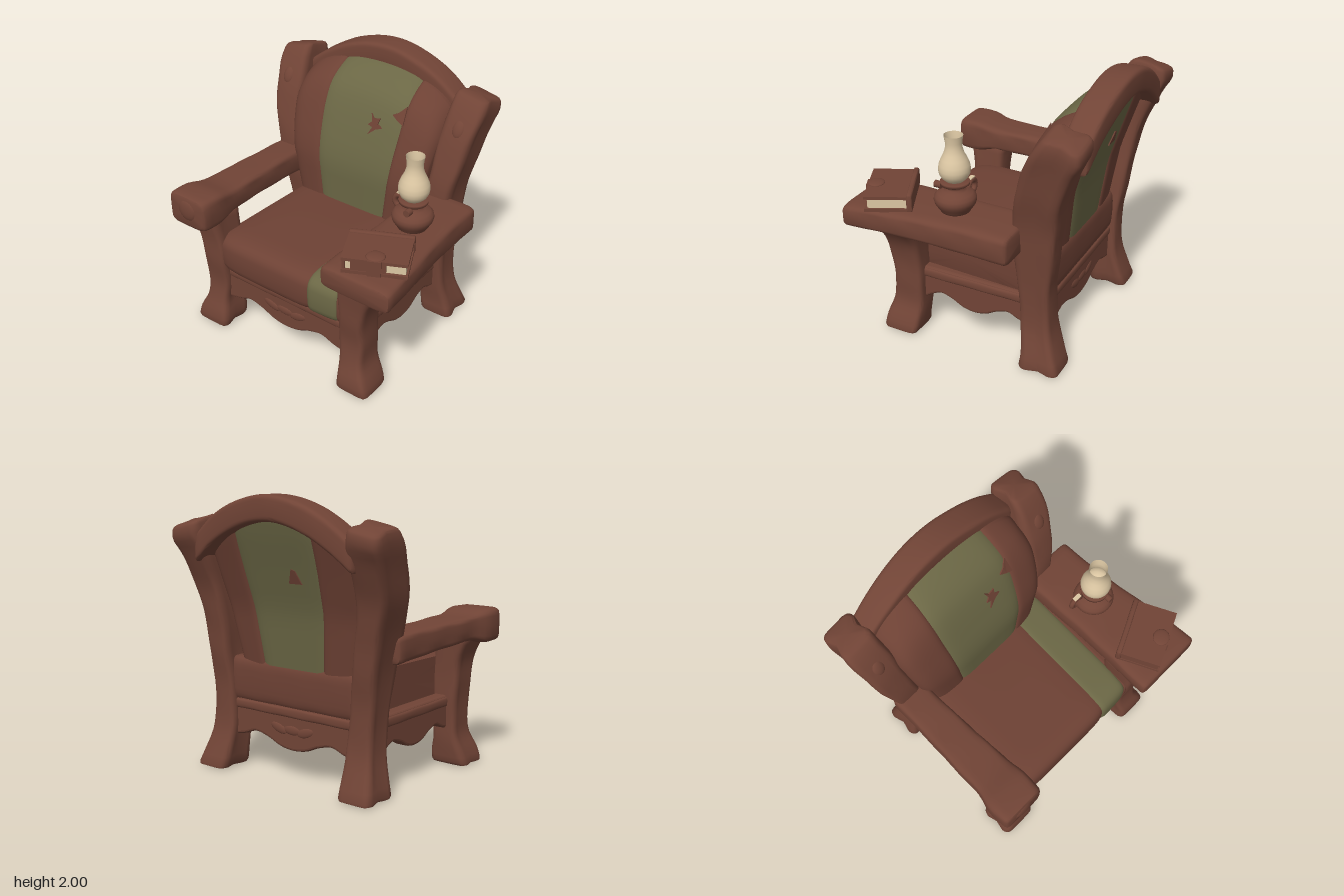
import * as THREE from 'three';
import { toCreasedNormals } from 'three/addons/utils/BufferGeometryUtils.js';

const mat = (name, color, side = THREE.FrontSide) => {
  const m = new THREE.MeshStandardMaterial({ color, side });
  m.name = name;
  return m;
};

// Linear lookup in a short [key, value] table.
const table = (rows) => (k) => {
  if (k <= rows[0][0]) return rows[0][1];
  for (let i = 1; i < rows.length; i++) {
    const [k0, v0] = rows[i - 1], [k1, v1] = rows[i];
    if (k <= k1) return v0 + (v1 - v0) * (k - k0) / (k1 - k0);
  }
  return rows[rows.length - 1][1];
};

// Closed solid through rings of points, with both ends capped.
function skin(rings, crease = 0.75) {
  const n = rings[0].length, pos = [], idx = [];
  rings.forEach((r) => r.forEach((p) => pos.push(...p)));
  for (let i = 0; i < rings.length - 1; i++) {
    for (let j = 0; j < n; j++) {
      const a = i * n + j, b = i * n + (j + 1) % n;
      idx.push(a, b, b + n, a, b + n, a + n);
    }
  }
  [0, rings.length - 1].forEach((r, end) => {
    const c = pos.length / 3;
    pos.push(...[0, 1, 2].map((k) => rings[r].reduce((s, p) => s + p[k], 0) / n));
    for (let j = 0; j < n; j++) {
      const a = r * n + j, b = r * n + (j + 1) % n;
      idx.push(...(end ? [a, b, c] : [b, a, c]));
    }
  });
  // Turn the faces outward if the volume is negative.
  const v = (i) => new THREE.Vector3().fromArray(pos, i * 3);
  let volume = 0;
  for (let i = 0; i < idx.length; i += 3) volume += v(idx[i]).dot(v(idx[i + 1]).cross(v(idx[i + 2])));
  if (volume < 0) idx.reverse();
  const g = new THREE.BufferGeometry();
  g.setAttribute('position', new THREE.Float32BufferAttribute(pos, 3));
  g.setIndex(idx);
  return toCreasedNormals(g, crease);
}

// Rounded beam along an axis; each section is [t, a0, a1, b0, b1]; bend may adjust each point.
function beam(axis, sections, { round = 0.35, bevel = 0.025, steps = 24, groove = 0, wobble = 0.012, bend = (p) => p } = {}) {
  const s = [...sections].sort((p, q) => p[0] - q[0]);
  const curve = new THREE.CubicInterpolant(s.map((r) => r[0]), s.flatMap((r) => r.slice(1)), 4, new Float32Array(4));
  const t0 = s[0][0], t1 = s[s.length - 1][0], ts = [[t0, bevel], [t0 + bevel * 0.3, bevel * 0.3]];
  for (let i = 0; i <= steps; i++) ts.push([t0 + bevel + (t1 - t0 - 2 * bevel) * i / steps, 0]);
  ts.push([t1 - bevel * 0.3, bevel * 0.3], [t1, bevel]);
  const soft = (c) => Math.sign(c) * Math.abs(c) ** round;
  return skin(ts.map(([t, inset]) => {
    const [a0, a1, b0, b1] = curve.evaluate(t), ring = [];
    for (let j = 0; j < 32; j++) {
      const th = j / 32 * Math.PI * 2;
      const w = 1 + wobble * Math.sin(t * 19 + Math.round(j / 4) * 1.9);
      const cut = groove && j % 16 === 0 ? groove : 0;
      const a = (a0 + a1) / 2 + ((a1 - a0) / 2 - inset - cut) * soft(Math.cos(th)) * w;
      const b = (b0 + b1) / 2 + ((b1 - b0) / 2 - inset) * soft(Math.sin(th)) * w;
      ring.push(bend(axis === 'y' ? [a, t, b] : axis === 'z' ? [a, b, t] : [t, a, b]));
    }
    return ring;
  }));
}

export function createModel() {
  const group = new THREE.Group();
  const wood = mat('brown wood', 0x714436);
  const leather = mat('brown upholstery', 0x6d4134);
  const green = mat('green patch cloth', 0x6b6745);
  const cream = mat('cream glass and paper', 0xdcc7a3, THREE.DoubleSide);
  const add = (name, geometry, material, parent = group) => {
    const m = new THREE.Mesh(geometry, material);
    m.name = name;
    parent.add(m);
    return m;
  };
  const lump = (name, x, y, z, sx, sy, sz, parent = group) => {
    const m = add(name, new THREE.SphereGeometry(1, 16, 10), wood, parent);
    m.position.set(x, y, z);
    m.scale.set(sx, sy, sz);
    return m;
  };
  const MID = -0.09;

  // Front legs, the left one flaring into an arm bracket
  add('frontLegRight', beam('y', [[0, -0.87, -0.57, 0.46, 0.74], [0.1, -0.84, -0.57, 0.45, 0.73], [0.22, -0.79, -0.59, 0.44, 0.69],
    [0.35, -0.78, -0.58, 0.44, 0.67], [0.6, -0.79, -0.575, 0.44, 0.69], [0.8, -0.81, -0.59, 0.44, 0.7], [0.98, -0.89, -0.61, 0.43, 0.73]], { groove: 0.02 }), wood);
  add('frontLegLeft', beam('y', [[0, 0.47, 0.75, 0.46, 0.74], [0.1, 0.48, 0.72, 0.45, 0.73], [0.22, 0.47, 0.67, 0.44, 0.69],
    [0.4, 0.46, 0.665, 0.44, 0.67], [0.6, 0.465, 0.67, 0.44, 0.69], [0.75, 0.465, 0.71, 0.44, 0.7], [0.88, 0.46, 0.8, 0.43, 0.71],
    [1.0, 0.46, 0.92, 0.43, 0.73]]), wood);

  // Leaning back posts, running from foot to ear: [y, centre, inner, outer, back, front]
  const postRows = [[0, -0.04, 0.52, 0.79, -0.69, -0.375], [0.13, -0.045, 0.51, 0.76, -0.64, -0.38], [0.3, -0.05, 0.51, 0.72, -0.59, -0.36],
    [0.6, -0.055, 0.53, 0.72, -0.575, -0.34], [0.9, -0.065, 0.56, 0.75, -0.61, -0.31], [1.1, -0.08, 0.58, 0.78, -0.63, -0.31],
    [1.35, MID, 0.61, 0.84, -0.68, -0.35], [1.6, MID, 0.62, 0.88, -0.78, -0.43], [1.75, MID, 0.64, 0.9, -0.83, -0.5], [1.85, MID, 0.65, 0.9, -0.83, -0.57]];
  const slopeEar = ([x, y, z]) => {
    const k = THREE.MathUtils.smoothstep(y, 1.5, 1.85);
    return [x, y - k * (0.2 * Math.max(0, Math.abs(x - MID) - 0.68) + 0.25 * Math.max(0, -z - 0.62)), z];
  };
  for (const s of [-1, 1]) {
    add(s < 0 ? 'backPostRight' : 'backPostLeft', beam('y', postRows.map(([y, c, i, o, z0, z1]) =>
      [y, Math.min(c + s * i, c + s * o), Math.max(c + s * i, c + s * o), z0, z1]), { groove: 0.025, steps: 30, bend: slopeEar }), wood);
    lump('postRosette', MID + s * 0.76, 1.62, -0.455, 0.05, 0.07, 0.025).rotation.x = -0.45;
  }

  // Arched crest rail
  add('crestRail', beam('x', [[-0.78, 1.51, 1.71, -0.8, -0.61], [-0.6, 1.64, 1.84, -0.815, -0.61], [-0.4, 1.75, 1.94, -0.83, -0.615],
    [-0.1, 1.82, 2.0, -0.84, -0.62], [0.2, 1.76, 1.95, -0.83, -0.615], [0.42, 1.65, 1.85, -0.815, -0.61], [0.6, 1.51, 1.71, -0.8, -0.61]],
  { wobble: 0.004, steps: 32 }), wood);

  // Arms, with a carved boss on the narrow one
  add('armRight', beam('z', [[-0.4, -0.87, -0.62, 0.9, 1.1], [-0.1, -0.88, -0.62, 0.92, 1.11], [0.3, -0.9, -0.61, 0.94, 1.12],
    [0.52, -0.91, -0.6, 0.94, 1.13], [0.64, -0.94, -0.59, 0.91, 1.16], [0.82, -0.94, -0.6, 0.91, 1.16]]), wood);
  add('armLeft', beam('z', [[-0.38, 0.46, 0.9, 0.9, 1.11], [-0.1, 0.46, 0.905, 0.91, 1.12], [0.2, 0.46, 0.925, 0.93, 1.125],
    [0.5, 0.45, 0.96, 0.95, 1.13], [0.84, 0.44, 0.985, 0.95, 1.12]], { wobble: 0.006 }), wood);
  lump('armBoss', -0.77, 1.05, 0.81, 0.085, 0.085, 0.025);

  // Scalloped aprons with a moulding above; carved leaves on the front and back
  const apron = (name, length, x, z, turn, carved) => {
    const h = length / 2, shape = new THREE.Shape();
    shape.moveTo(-h, 0.5);
    shape.lineTo(-h, 0.25);
    shape.splineThru([[-0.82, 0.27], [-0.62, 0.305], [-0.4, 0.28], [-0.2, 0.235], [0, 0.22], [0.2, 0.235],
      [0.4, 0.28], [0.62, 0.305], [0.82, 0.27], [1, 0.25]].map(([u, y]) => new THREE.Vector2(u * h, carved ? y : y + 0.035)));
    shape.lineTo(h, 0.5);
    const part = new THREE.Group();
    part.name = name;
    const g = new THREE.ExtrudeGeometry(shape, { depth: 0.07, bevelSize: 0.02, bevelThickness: 0.02, bevelSegments: 3, curveSegments: 30 });
    add('apronPanel', g.translate(0, 0.01, -0.035), wood, part);
    add('apronMoulding', beam('x', [[-h, 0.44, 0.525, -0.065, 0.065], [h, 0.44, 0.525, -0.065, 0.065]], { round: 0.6 }), wood, part);
    if (carved) for (const s of [-1, 0, 1]) lump('carvedLeaf', s * 0.12, 0.36, 0.05, 0.08, 0.035, 0.014, part).rotation.z = s * 0.3;
    part.position.set(x, 0, z);
    part.rotation.y = turn;
    group.add(part);
  };
  apron('frontApron', 1.08, -0.055, 0.57, 0, true);
  apron('backApron', 1.12, -0.055, -0.47, Math.PI, true);
  apron('leftApron', 0.88, 0.54, 0.04, Math.PI / 2, false);
  apron('rightApron', 0.88, -0.66, 0.04, -Math.PI / 2, false);

  // Seat cushion in three pieces across, the green one a patch band
  const seatRing = (x, pinch) => {
    const ring = [], u = (x + 0.05) / 0.6, drop = 0.03 * u ** 6 + pinch;
    for (let j = 0; j < 40; j++) {
      const th = j / 40 * Math.PI * 2, c = Math.cos(th), s = Math.sin(th);
      const z = 0.12 + (0.58 - drop) * Math.sign(c) * Math.abs(c) ** 0.3;
      const y = 0.66 + (0.175 - drop * 0.7) * Math.sign(s) * Math.abs(s) ** 0.5;
      ring.push([x + 0.05 * Math.max(0, 0.6 - z), y, z]);
    }
    return ring;
  };
  const strip = (name, material, a, b, ringAt) => {
    const rings = [];
    for (let i = 0; i <= 14; i++) {
      const t = -Math.cos(i / 14 * Math.PI);
      rings.push(ringAt(a + (b - a) * (t + 1) / 2, 0.015 * t ** 10));
    }
    add(name, skin(rings, 1), material);
  };
  strip('seatCushion', leather, -0.62, 0.215, seatRing);
  strip('seatPatchBand', green, 0.21, 0.465, seatRing);
  strip('seatCushionEdge', leather, 0.46, 0.52, seatRing);
  add('rearSeatRoll', beam('x', [[-0.62, 0.5, 0.83, -0.54, -0.36], [0.52, 0.5, 0.83, -0.54, -0.36]], { round: 0.5, wobble: 0.005 }), leather);

  // Back cushion, following the lean of the posts, with a green middle panel
  const half = table([[0.8, 0.52], [1.2, 0.6], [1.5, 0.64], [1.7, 0.65], [1.87, 0.63]]);
  const face = table([[0.8, -0.21], [1.15, -0.205], [1.3, -0.235], [1.5, -0.3], [1.7, -0.37], [1.87, -0.45]]);
  const rear = table([[0.8, -0.53], [1.2, -0.58], [1.5, -0.67], [1.75, -0.75], [1.87, -0.78]]);
  const crown = (u) => 1.87 - 0.12 * u * u - 0.1 * u ** 8;
  const backPoint = (u, s, front, pinch = 0) => {
    const y = 0.8 + (crown(u) - pinch - 0.8) * s;
    const z = front ? face(y) - 0.17 * s ** 12 - 0.03 * u ** 4 - 0.05 * u ** 16 - pinch : rear(y) + 0.02 * u ** 4 + pinch;
    return [MID + u * half(y) * (front ? 1 : 0.97), y, z];
  };
  const backRing = (u, pinch) => {
    const ring = [];
    for (let i = 0; i <= 20; i++) ring.push(backPoint(u, Math.sin(i / 20 * Math.PI / 2), true, pinch));
    for (let i = 12; i >= 0; i--) ring.push(backPoint(u, i / 12, false, pinch));
    return ring;
  };
  strip('backCushionRight', leather, -1, -0.49, backRing);
  strip('backCushionPanel', green, -0.5, 0.57, backRing);
  strip('backCushionLeft', leather, 0.56, 1, backRing);

  // Torn spots on the green panel, front and rear
  const outline = (pts) => new THREE.Shape(pts.map(([x, y]) => new THREE.Vector2(x, y)));
  const tear = outline([[-0.05, 0.07], [-0.02, 0.04], [0.03, 0.05], [0.02, 0.01], [0.06, -0.01], [0.01, -0.03],
    [-0.05, -0.08], [-0.02, -0.02], [-0.06, -0.01], [-0.03, 0.02]]);
  const notch = outline([[-0.06, 0], [-0.02, 0.02], [0.03, 0.07], [0.04, -0.05], [-0.01, -0.03]]);
  const wedge = outline([[-0.06, -0.04], [0.05, -0.04], [0.01, 0.06], [-0.02, 0.05]]);
  const tearOn = (name, shape, x, y0, front) => {
    const g = new THREE.ExtrudeGeometry(shape, { depth: 0.009, bevelEnabled: false }).translate(x, y0, front ? 0 : -0.009);
    const p = g.attributes.position;
    for (let i = 0; i < p.count; i++) {
      const y = p.getY(i), u = (p.getX(i) - MID) / half(y);
      p.setZ(i, p.getZ(i) + backPoint(u, (y - 0.8) / (crown(u) - 0.8), front)[2]);
    }
    g.computeVertexNormals();
    add(name, g, leather);
  };
  tearOn('frontTear', tear, 0.07, 1.53, true);
  tearOn('frontEdgeTear', notch, 0.25, 1.63, true);
  tearOn('rearTear', wedge, -0.2, 1.45, false);

  // Oil lamp
  const lamp = new THREE.Group();
  lamp.name = 'oilLamp';
  lamp.position.set(0.68, 1.12, 0.11);
  const lathe = (pts) => new THREE.LatheGeometry(pts.map(([r, y]) => new THREE.Vector2(r, y)), 32);
  add('lampBase', lathe([[0, 0], [0.1, 0], [0.108, 0.015], [0.125, 0.04], [0.14, 0.065], [0.146, 0.09], [0.141, 0.115], [0.12, 0.137],
    [0.08, 0.152], [0.06, 0.165], [0.06, 0.19], [0.1, 0.2], [0.1, 0.22], [0, 0.222]]), wood, lamp);
  add('lampChimney', lathe([[0.02, 0.226], [0.065, 0.226], [0.09, 0.25], [0.105, 0.28], [0.109, 0.31], [0.104, 0.345], [0.088, 0.385], [0.07, 0.42],
    [0.058, 0.46], [0.057, 0.5], [0.065, 0.55]]), cream, lamp);
  add('lampWick', new THREE.CylinderGeometry(0.018, 0.022, 0.09, 12).translate(0, 0.265, 0), wood, lamp);
  const handle = add('lampHandle', new THREE.TorusGeometry(0.045, 0.02, 8, 20), wood, lamp);
  handle.position.set(-0.135, 0.13, -0.05);
  add('handlePlate', new THREE.BoxGeometry(0.06, 0.008, 0.03).translate(-0.13, 0.194, -0.05), cream, lamp);
  const key = add('lampKey', new THREE.CylinderGeometry(0.025, 0.025, 0.05, 14).rotateX(Math.PI / 2), wood, lamp);
  key.position.set(0.03, 0.18, 0.11);
  group.add(lamp);

  // Closed book lying at an angle, with a flap and clasp wrapped over its front edge
  const book = new THREE.Group();
  book.name = 'book';
  book.position.set(0.73, 1.12, 0.59);
  book.rotation.y = 0.44;
  const box = (name, w, h, d, x, y, z, m) => add(name, new THREE.BoxGeometry(w, h, d).translate(x, y, z), m, book);
  box('lowerCover', 0.43, 0.025, 0.31, 0, 0.013, 0, wood);
  box('pages', 0.4, 0.07, 0.27, 0, 0.06, 0, cream);
  box('upperCover', 0.43, 0.022, 0.31, 0, 0.105, 0, wood);
  add('bookSpine', beam('x', [[-0.22, 0, 0.13, -0.17, -0.13], [0.22, 0, 0.13, -0.17, -0.13]], { bevel: 0.01, steps: 4 }), wood, book);
  box('endFlap', 0.02, 0.08, 0.29, -0.2, 0.06, 0, wood);
  box('frontFlap', 0.23, 0.08, 0.02, -0.04, 0.06, 0.14, wood);
  box('claspStrap', 0.09, 0.115, 0.02, 0, 0.06, 0.155, wood);
  lump('claspPlate', 0, 0.116, 0.1, 0.065, 0.014, 0.06, book);
  group.add(book);

  return group;
}
